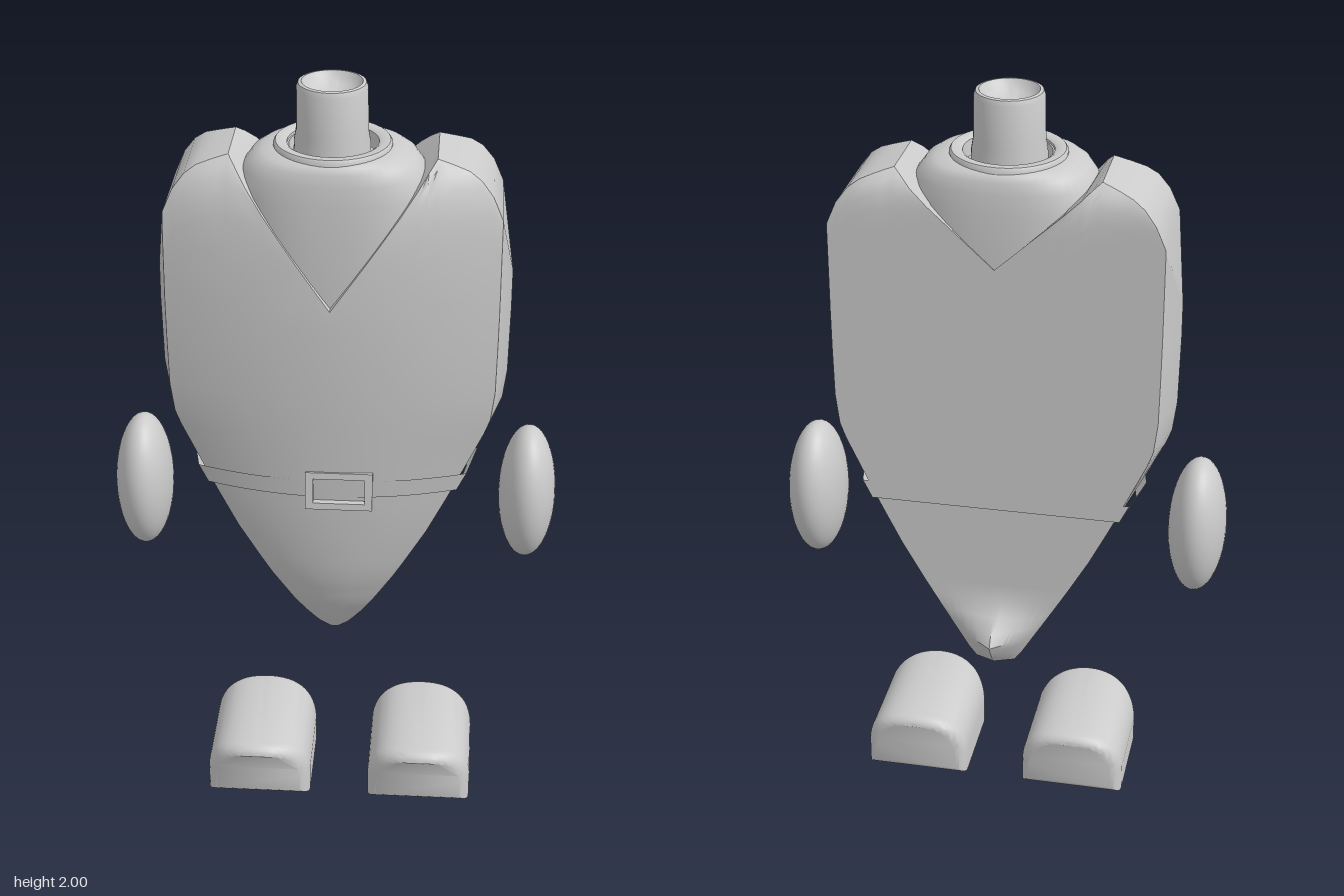
import * as THREE from 'three';
import { toCreasedNormals } from 'three/addons/utils/BufferGeometryUtils.js';

const grey = new THREE.MeshStandardMaterial({ color: 0xcccccc, side: THREE.DoubleSide });

// Piecewise-linear lookup in [[input, output], ...]
function at(table, v) {
  if (v <= table[0][0]) return table[0][1];
  for (let i = 1; i < table.length; i++) {
    const [a, p] = table[i - 1], [b, q] = table[i];
    if (v <= b) return p + (q - p) * (v - a) / (b - a);
  }
  return table[table.length - 1][1];
}

// Skin stacked rings of [x, y, z]; extra holds additional triangles
function loft(rings, extra = [], crease = 0.65) {
  const n = rings[0].length, index = [];
  for (let j = 0; j < rings.length - 1; j++)
    for (let k = 0; k < n; k++) {
      const a = j * n + k, b = j * n + (k + 1) % n;
      index.push(a, b, b + n, a, b + n, a + n);
    }
  index.push(...extra);
  const geo = new THREE.BufferGeometry();
  geo.setAttribute('position', new THREE.Float32BufferAttribute(rings.flat(2), 3));
  geo.setIndex(index);
  return toCreasedNormals(geo, crease);
}

// Torso profiles by height
const halfWidth = [[0.43, 0.012], [0.45, 0.04], [0.5, 0.078], [0.6, 0.142], [0.7, 0.205], [0.8, 0.265],
  [0.9, 0.318], [1.0, 0.368], [1.1, 0.417], [1.14, 0.432], [1.22, 0.442], [1.4, 0.445]];
const frontZ = [[0.43, 0], [0.47, 0.025], [0.55, 0.07], [0.65, 0.105], [0.8, 0.132], [1.0, 0.15], [1.25, 0.168],
  [1.45, 0.172], [1.62, 0.166], [1.72, 0.153], [1.79, 0.125], [1.83, 0.08]];
const backZ = [[0.43, -0.1], [0.47, -0.165], [0.5, -0.167], [1.76, -0.167], [1.8, -0.155], [1.83, -0.12]];
const tailZ = [[0.43, 0], [0.47, 0.02], [0.51, 0.055], [0.55, 0.08], [0.58, 0.06], [0.61, 0.025], [0.65, 0]];
const shoulder = [[0.25, 1.83], [0.29, 1.818], [0.34, 1.8], [0.375, 1.77], [0.4, 1.725], [0.42, 1.67], [0.445, 1.5]];

const half = [0, 0.1, 0.2, 0.3, 0.4, 0.5, 0.56, 0.61, 0.66, 0.72, 0.8, 0.87, 0.94, 1];
const spread = [...half.slice(1).reverse().map(u => -u), ...half];
const N = spread.length;

// One torso ring; yOf(x, isBack) gives the height of each vertex
function torsoRing(yOf, w) {
  const face = (u, back) => {
    const x = u * w * 0.93, y = yOf(x, back);
    const drop = 0.07 * u * u * Math.min(1, w / 0.4);
    const z = back ? at(backZ, y) - at(tailZ, y) * (1 - Math.abs(u)) : at(frontZ, y) - drop;
    return [x, y, z];
  };
  const side = s => {
    const f = face(s, false), b = face(s, true);
    return [s * w, yOf(s * w, false), (f[2] + b[2]) / 2];
  };
  return [side(1), ...[...spread].reverse().map(u => face(u, true)), side(-1), ...spread.map(u => face(u, false))];
}
const levelRing = y => torsoRing(() => y, at(halfWidth, y));

function torsoGeometry() {
  const rings = [0.43, 0.45, 0.47, 0.5, 0.53, 0.55, 0.58, 0.61, 0.65, 0.7, 0.8, 0.9, 1, 1.1, 1.14, 1.22, 1.35].map(levelRing);
  // Upper rows stretch up to the shoulders and the V neckline
  const top = (x, back) => {
    const a = Math.abs(x), low = back ? 1.6 : 1.47;
    return a < 0.25 ? low + (1.83 - low) * a / 0.25 : at(shoulder, a);
  };
  for (const q of [0.3, 0.55, 0.72, 0.82, 0.9, 0.96, 1])
    rings.push(torsoRing((x, back) => 1.35 + (top(x, back) - 1.35) * q, 0.445));
  // Close both ends by joining the front edge to the back edge
  const extra = [], size = 2 * N + 2, o = (rings.length - 1) * size;
  const tri = (a, b, c) => extra.push(a + o, b + o, c + o, a, c, b);
  for (let i = 0; i < N - 1; i++) {
    const b = 1 + i, f = size - 1 - i;
    tri(b, b + 1, f - 1);
    tri(b, f - 1, f);
  }
  tri(0, 1, size - 1);
  tri(N + 1, N + 2, N);
  return loft(rings, extra);
}

// Rounded inner body that fills the neckline
function chestGeometry() {
  const rows = [[1.35, 0.22, 0.15], [1.5, 0.24, 0.161], [1.65, 0.245, 0.163], [1.74, 0.238, 0.163], [1.79, 0.222, 0.16],
    [1.82, 0.2, 0.155], [1.835, 0.175, 0.148], [1.842, 0.14, 0.138], [1.842, 0.11, 0.11], [1.81, 0.105, 0.105], [1.81, 0.05, 0.05]];
  const rings = rows.map(([y, rx, rz]) => Array.from({ length: 48 }, (_, k) => {
    const a = k / 48 * Math.PI * 2, c = Math.cos(a), s = Math.sin(a);
    const p = rx > 0.16 ? 0.82 : 1;
    return [rx * Math.sign(c) * Math.abs(c) ** p, y, -rz * Math.sign(s) * Math.abs(s) ** p];
  }));
  return loft(rings, [], 0.8);
}

const lathe = pts => toCreasedNormals(new THREE.LatheGeometry(pts.map(p => new THREE.Vector2(...p)), 40), 0.7);

// Arched block with rounded ends, narrowing slightly at its corners
function footGeometry() {
  const w = 0.115, b = 0.025, s = new THREE.Shape();
  s.moveTo(-w, b);
  s.lineTo(w, b);
  s.lineTo(w, 0.075);
  s.bezierCurveTo(w - 0.005, 0.14, 0.075, 0.162, 0, 0.162);
  s.bezierCurveTo(-0.075, 0.162, -w + 0.005, 0.14, -w, 0.075);
  s.closePath();
  const depth = 0.3;
  const geo = new THREE.ExtrudeGeometry(s, { depth, steps: 1, bevelSize: b, bevelThickness: 0.03, bevelSegments: 5, curveSegments: 14 });
  geo.translate(0, 0, -depth / 2);
  const p = geo.attributes.position;
  for (let i = 0; i < p.count; i++) {
    const z = p.getZ(i), t = p.getX(i) / 0.14;
    p.setZ(i, z - Math.sign(z) * (z > 0 ? 0.05 : 0.02) * t * t);
  }
  geo.deleteAttribute('normal');
  geo.deleteAttribute('uv');
  return toCreasedNormals(geo, 0.7);
}

// Rectangular frame with a hole
function buckleGeometry() {
  const rect = (P, w, h) => {
    const r = new P();
    r.moveTo(-w, -h); r.lineTo(w, -h); r.lineTo(w, h); r.lineTo(-w, h); r.closePath();
    return r;
  };
  const s = rect(THREE.Shape, 0.086, 0.052);
  s.holes.push(rect(THREE.Path, 0.066, 0.034));
  return new THREE.ExtrudeGeometry(s, { depth: 0.02, bevelEnabled: false });
}

export function createModel() {
  const model = new THREE.Group();
  const add = (name, geo, x = 0, y = 0, z = 0) => {
    const m = new THREE.Mesh(geo, grey);
    m.name = name;
    m.position.set(x, y, z);
    model.add(m);
    return m;
  };

  add('torso', torsoGeometry());
  add('innerChest', chestGeometry());

  // Collar ring and hollow-topped neck
  add('collar', lathe([[0.108, 1.81], [0.112, 1.848], [0.12, 1.853], [0.14, 1.853], [0.145, 1.846], [0.145, 1.815]]), -0.003);
  add('neck', lathe([[0.095, 1.78], [0.093, 1.85], [0.088, 1.88], [0.087, 1.985], [0.082, 1.998], [0.074, 2],
    [0.068, 1.99], [0.055, 1.974], [0.03, 1.965], [0, 1.962]]), -0.005);

  // Belt hugging the waist, with buckle
  const belt = [0.93, 0.98].map(y => levelRing(y).map(([x, h, z]) => [x * 1.04, h, z * 1.02]));
  add('belt', loft(belt));
  add('buckle', buckleGeometry(), 0.022, 0.953, 0.14).rotation.x = -0.08;

  // Hands and feet
  for (const [side, sign, footX] of [['left', 1, 0.243], ['right', -1, -0.195]]) {
    add(side + 'Hand', new THREE.SphereGeometry(1, 40, 28), sign * 0.507, 0.866, -0.03).scale.set(0.075, 0.188, 0.124);
    add(side + 'Foot', footGeometry(), footX, 0, 0.07);
  }
  return model;
}
